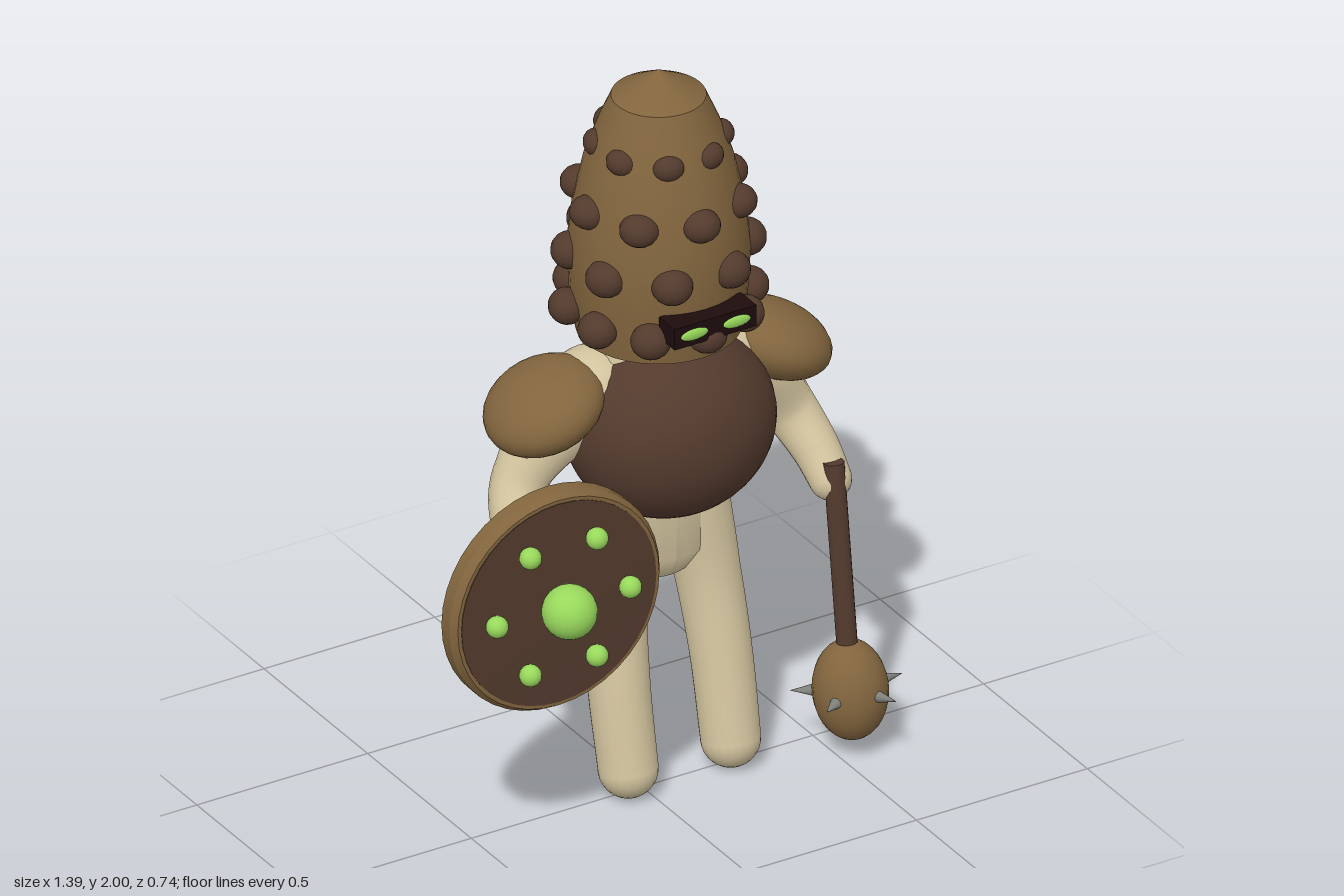
import * as THREE from 'three';
import { toCreasedNormals } from 'three/addons/utils/BufferGeometryUtils.js';

const mat = (name, color) => Object.assign(new THREE.MeshStandardMaterial({ color }), { name });
const V = (x, y, z) => new THREE.Vector3(x, y, z);
const CX = 0.1; // the figure's own centre line

export function createModel() {
  const tan = mat('tan', 0x82653e), brown = mat('dark brown', 0x533a2d), skin = mat('cream', 0xd2c39e);
  const green = mat('green', 0x98d85c), black = mat('black', 0x1e0c0c), grey = mat('grey', 0x80807c);
  const model = new THREE.Group();
  model.name = 'shieldBearer';

  const add = (name, geo, material, parent = model) => {
    const mesh = new THREE.Mesh(geo, material);
    mesh.name = name;
    parent.add(mesh);
    return mesh;
  };
  const ellipsoid = (name, material, pos, size, parent = model, seg = 24) => {
    const mesh = add(name, new THREE.SphereGeometry(1, seg, Math.round(seg * 0.7)), material, parent);
    mesh.position.set(...pos);
    mesh.scale.set(...size);
    return mesh;
  };
  const lathe = (pts, crease = 0.5) => toCreasedNormals(
    new THREE.LatheGeometry(pts.map(p => new THREE.Vector2(...p)), 40), crease);

  // Rounded limb: a tube whose radius changes along the path
  const limb = (name, pts, radii) => {
    const group = new THREE.Group(), steps = 24, sides = 20;
    group.name = name;
    const curve = new THREE.CatmullRomCurve3(pts);
    const geo = new THREE.TubeGeometry(curve, steps, 1, sides);
    const pos = geo.attributes.position, v = V(0, 0, 0);
    for (let i = 0; i < pos.count; i++) {
      const u = Math.floor(i / (sides + 1)) / steps;
      const t = u * (radii.length - 1), k = Math.min(Math.floor(t), radii.length - 2);
      const r = THREE.MathUtils.lerp(radii[k], radii[k + 1], t - k);
      const p = curve.getPointAt(u);
      v.fromBufferAttribute(pos, i).sub(p).multiplyScalar(r).add(p);
      pos.setXYZ(i, v.x, v.y, v.z);
    }
    add(name + 'Tube', geo, skin, group);
    [[pts[0], radii[0]], [pts[pts.length - 1], radii[radii.length - 1]]].forEach(([p, r]) =>
      ellipsoid(name + 'End', skin, p.toArray(), [r, r, r], group));
    model.add(group);
  };

  // Torso and neck: a lathe stretched into ovals, [y, half width, half depth, z]
  const sections = [[0.55, 0.001, 0.001, -0.08], [0.57, 0.08, 0.05, -0.08], [0.63, 0.17, 0.085, -0.085],
    [0.75, 0.195, 0.105, -0.1], [0.9, 0.2, 0.12, -0.105], [1.05, 0.235, 0.135, -0.1],
    [1.17, 0.22, 0.14, -0.095], [1.24, 0.165, 0.13, -0.085], [1.35, 0.15, 0.12, -0.085]];
  const torso = new THREE.LatheGeometry(sections.map(s => new THREE.Vector2(1, s[0])), 36);
  const tp = torso.attributes.position;
  for (let i = 0; i < tp.count; i++) {
    const s = sections[i % sections.length];
    tp.setXYZ(i, CX + tp.getX(i) * s[1], s[0], s[3] + tp.getZ(i) * s[2]);
  }
  torso.computeVertexNormals();
  add('torso', torso, skin);

  // Legs, arms and shoulder pads, mirrored
  for (const s of [1, -1]) {
    const side = s > 0 ? 'left' : 'right', X = x => CX + s * x;
    limb(side + 'Leg', [V(X(0.15), 0.08, 0.015), V(X(0.15), 0.3, -0.03), V(X(0.137), 0.52, -0.075),
      V(X(0.1), 0.75, -0.1)], [0.077, 0.08, 0.085, 0.1]);
    limb(side + 'Arm', [V(X(0.18), 1.11, -0.1), V(X(0.3), 1.04, -0.11), V(X(0.395), 0.9, -0.115),
      V(X(0.435), 0.8, -0.045), V(X(0.445), 0.735, 0.01)], [0.13, 0.1, 0.075, 0.065, 0.055]);
    ellipsoid(side + 'ShoulderPad', tan, [X(0.333), 1.128, -0.09], [0.16, 0.095, 0.16]).rotation.z = -s * 0.42;
  }

  // Round breastplate
  ellipsoid('breastplate', brown, [CX, 1.02, -0.032], [0.278, 0.25, 0.244], model, 40);

  // Helmet with rows of studs
  const helmet = new THREE.Group();
  helmet.name = 'helmet';
  helmet.position.set(CX, 0, -0.085);
  model.add(helmet);
  add('helmetShell', lathe([[0, 1.27], [0.21, 1.27], [0.225, 1.38], [0.232, 1.5], [0.218, 1.62],
    [0.19, 1.75], [0.155, 1.85], [0.12, 1.93], [0, 2]]), tan, helmet);
  // [y, ring radius, count, offset, stud width, stud height]
  for (const [y, ring, n, off, w, h] of [[1.35, 0.235, 10, 0, 0.052, 0.047], [1.5, 0.225, 8, 0.5, 0.053, 0.048],
    [1.65, 0.205, 8, 0, 0.051, 0.043], [1.805, 0.16, 8, 0.5, 0.041, 0.034]]) {
    for (let i = 0; i < n; i++) {
      const a = (i + off) / n * Math.PI * 2;
      ellipsoid('helmetStud', brown, [Math.sin(a) * ring, y, Math.cos(a) * ring], [w, h, y > 1.7 ? 0.032 : 0.049],
        helmet, 16).rotation.y = a;
    }
  }
  // Eye slot and glowing eyes
  add('eyeSlot', new THREE.BoxGeometry(0.24, 0.06, 0.075), black).position.set(CX, 1.39, 0.153);
  for (const s of [-1, 1]) ellipsoid('eye', green, [CX + s * 0.062, 1.39, 0.19], [0.04, 0.016, 0.008]);

  // Shield
  const shield = new THREE.Group();
  shield.name = 'shield';
  shield.position.set(-0.393, 0.77, 0);
  model.add(shield);
  add('shieldRim', lathe([[0, 0.187], [0.308, 0.187], [0.308, 0.225], [0.295, 0.245], [0, 0.245]])
    .rotateX(Math.PI / 2), tan, shield);
  add('shieldFace', lathe([[0, 0.15], [0.14, 0.153], [0.22, 0.167], [0.285, 0.189], [0.285, 0.247], [0, 0.249]])
    .rotateX(Math.PI / 2), brown, shield);
  ellipsoid('shieldBoss', green, [0, 0, 0.298], [0.071, 0.071, 0.071], shield);
  for (let i = 0; i < 6; i++) {
    const a = i * Math.PI / 3;
    ellipsoid('shieldStud', green, [Math.cos(a) * 0.195, Math.sin(a) * 0.195, 0.27], [0.029, 0.029, 0.029], shield, 16);
  }

  // Spiked mace, leaning forward
  const mace = new THREE.Group();
  mace.name = 'mace';
  mace.position.set(0.54, 0.182, 0.115);
  mace.rotation.x = -0.13;
  model.add(mace);
  add('maceHandle', new THREE.CylinderGeometry(0.027, 0.027, 0.62, 16), brown, mace).position.y = 0.31;
  ellipsoid('maceHead', tan, [0, 0, 0], [0.097, 0.134, 0.097], mace);
  for (let i = 0; i < 5; i++) {
    const pivot = new THREE.Group();
    pivot.name = 'maceSpike';
    pivot.rotation.y = -i * Math.PI * 2 / 5;
    const cone = add('spikeCone', new THREE.ConeGeometry(0.021, 0.08, 10), grey, pivot);
    cone.rotation.z = -Math.PI / 2;
    cone.position.x = 0.113;
    mace.add(pivot);
  }
  return model;
}
